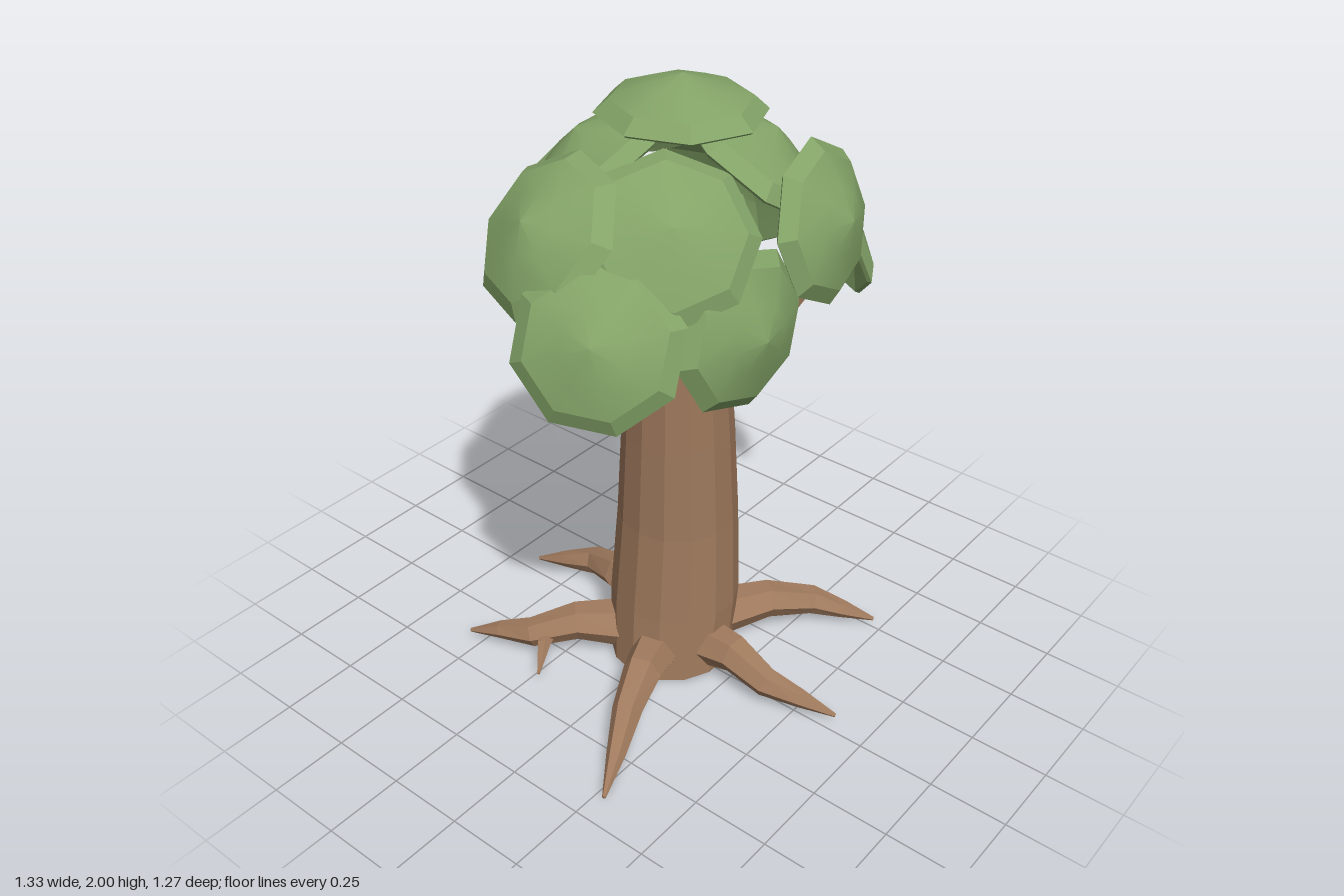
import * as THREE from 'three';
import { toCreasedNormals } from 'three/addons/utils/BufferGeometryUtils.js';

const bark = new THREE.MeshStandardMaterial({ color: 0xa17b5e });
bark.name = 'bark brown';
const leaf = new THREE.MeshStandardMaterial({ color: 0x83a367 });
leaf.name = 'leaf green';

// Faceted limb: each stop is [x, y, z, radius]; rings stand square to the path.
function limb(name, stops, sides, level = false) {
  const pts = stops.map(([x, y, z]) => new THREE.Vector3(x, y, z));
  const pos = [];
  const rings = stops.map((s, i) => {
    const t = level
      ? new THREE.Vector3(0, 1, 0)
      : pts[Math.min(i + 1, pts.length - 1)].clone().sub(pts[Math.max(i - 1, 0)]).normalize();
    const ref = Math.abs(t.y) > 0.9 ? new THREE.Vector3(0, 0, 1) : new THREE.Vector3(0, 1, 0);
    const u = ref.cross(t).normalize();
    const v = t.clone().cross(u);
    return Array.from({ length: sides }, (_, j) => {
      const a = (j / sides) * Math.PI * 2;
      return pts[i].clone().addScaledVector(u, Math.cos(a) * s[3]).addScaledVector(v, Math.sin(a) * s[3]);
    });
  });
  const tri = (...p) => p.forEach((q) => pos.push(q.x, q.y, q.z));
  const last = rings.length - 1;
  for (let j = 0; j < sides; j++) {
    const k = (j + 1) % sides;
    for (let i = 0; i < last; i++) {
      tri(rings[i][j], rings[i][k], rings[i + 1][k]);
      tri(rings[i][j], rings[i + 1][k], rings[i + 1][j]);
    }
    tri(pts[0], rings[0][k], rings[0][j]);
    tri(pts[last], rings[last][j], rings[last][k]);
  }
  const g = new THREE.BufferGeometry();
  g.setAttribute('position', new THREE.Float32BufferAttribute(pos, 3));
  g.computeVertexNormals();
  const mesh = new THREE.Mesh(g, bark);
  mesh.name = name;
  return mesh;
}

// Shallow eight-sided dome with a faceted bevel round the rim and a hollow underside.
function domeGeometry() {
  const profile = [[0, 0.075], [0.12, 0.045], [0.23, -0.012], [0.24, -0.004], [0.198, 0.034], [0.1, 0.073], [0, 0.102]];
  const g = new THREE.LatheGeometry(profile.map(([x, y]) => new THREE.Vector2(x, y)), 8);
  return toCreasedNormals(g, 0.34);
}

export function createModel() {
  const tree = new THREE.Group();
  tree.name = 'tree';

  // Leaning trunk
  tree.add(limb('trunk', [
    [0, 0.022, 0, 0.2],
    [0.02, 0.25, 0, 0.208],
    [0.015, 0.57, 0.015, 0.19],
    [-0.01, 0.9, 0.035, 0.172],
    [-0.035, 1.2, 0.05, 0.153],
    [-0.045, 1.42, 0.06, 0.14],
  ], 14, true));

  // Roots: arched over the knee, then flattening out to the tip
  const roots = [
    { knee: [-0.4, 0.15], tip: [-0.66, 0.28], end: 0.01 },
    { knee: [-0.03, 0.41], tip: [0.04, 0.63], end: 0.03 },
    { knee: [0.4, 0.29], tip: [0.51, 0.47], end: 0.03 },
    { knee: [0.42, -0.2], tip: [0.66, -0.37], end: 0.03 },
    { knee: [0.1, -0.42], tip: [0.04, -0.64], end: 0.03 },
    { knee: [-0.32, -0.33], tip: [-0.4, -0.54], end: 0.04 },
  ];
  for (const { knee: [kx, kz], tip: [tx, tz], end } of roots) {
    tree.add(limb('root', [
      [kx * 0.3, 0.11, kz * 0.3, 0.082],
      [kx * 0.68, 0.13, kz * 0.68, 0.062],
      [kx, 0.092, kz, 0.048],
      [(kx + tx) / 2, end + 0.032, (kz + tz) / 2, 0.03],
      [tx, end, tz, 0.006],
    ], 6));
  }

  // Side rootlets
  tree.add(limb('rootlet', [[0.32, 0.1, 0.25, 0.03], [0.42, 0.08, 0.24, 0.022], [0.5, 0.035, 0.21, 0.005]], 5));
  tree.add(limb('rootlet', [[-0.25, 0.1, -0.3, 0.03], [-0.34, 0.09, -0.26, 0.022], [-0.43, 0.06, -0.2, 0.005]], 5));

  // Two branches rising into the crown
  tree.add(limb('branch', [
    [0.05, 1.16, 0.08, 0.05], [0.13, 1.2, 0.14, 0.058],
    [0.22, 1.29, 0.24, 0.05], [0.29, 1.41, 0.31, 0.036], [0.33, 1.5, 0.33, 0.012],
  ], 8));
  tree.add(limb('branch', [
    [-0.11, 1.05, 0.02, 0.05], [-0.2, 1.1, -0.03, 0.06],
    [-0.28, 1.2, -0.09, 0.05], [-0.36, 1.34, -0.14, 0.036], [-0.42, 1.46, -0.17, 0.012],
  ], 8));

  // Leaf domes: rim centre, outward direction, size
  const domes = [
    [[0, 1.898, 0.035], [0, 1, 0.02], 1],
    [[0.14, 1.625, 0.41], [0.12, 0.25, 1], 0.97],
    [[-0.27, 1.665, 0.21], [-0.5, 0.65, 0.55], 1.03],
    [[-0.51, 1.44, 0.17], [-0.8, 0.42, 0.45], 1],
    [[-0.15, 1.395, 0.36], [-0.12, 0.06, 1], 1],
    [[0.46, 1.45, 0.2], [0.8, 0.42, 0.4], 1.08],
    [[0.41, 1.5, -0.08], [0.85, 0.45, -0.15], 1.03],
    [[0.27, 1.36, -0.17], [0.75, 0.05, -0.6], 0.95],
    [[-0.05, 1.54, -0.38], [-0.08, 0.34, -1], 1],
    [[0.13, 1.755, -0.16], [0.35, 0.8, -0.45], 1.06],
    [[-0.42, 1.645, -0.08], [-0.75, 0.6, -0.15], 1.02],
    [[0.15, 1.745, 0.17], [0.35, 0.75, 0.42], 1.08],
    [[-0.15, 1.765, -0.14], [-0.35, 0.8, -0.4], 1],
    [[-0.15, 1.4, -0.26], [-0.3, 0.05, -1], 0.88],
  ];
  const dome = domeGeometry();
  const up = new THREE.Vector3(0, 1, 0);
  const crown = new THREE.Group();
  crown.name = 'crown';
  for (const [centre, facing, size] of domes) {
    const mesh = new THREE.Mesh(dome, leaf);
    mesh.name = 'leafDome';
    mesh.position.set(...centre);
    mesh.quaternion.setFromUnitVectors(up, new THREE.Vector3(...facing).normalize());
    mesh.scale.setScalar(size);
    crown.add(mesh);
  }
  tree.add(crown);
  return tree;
}
